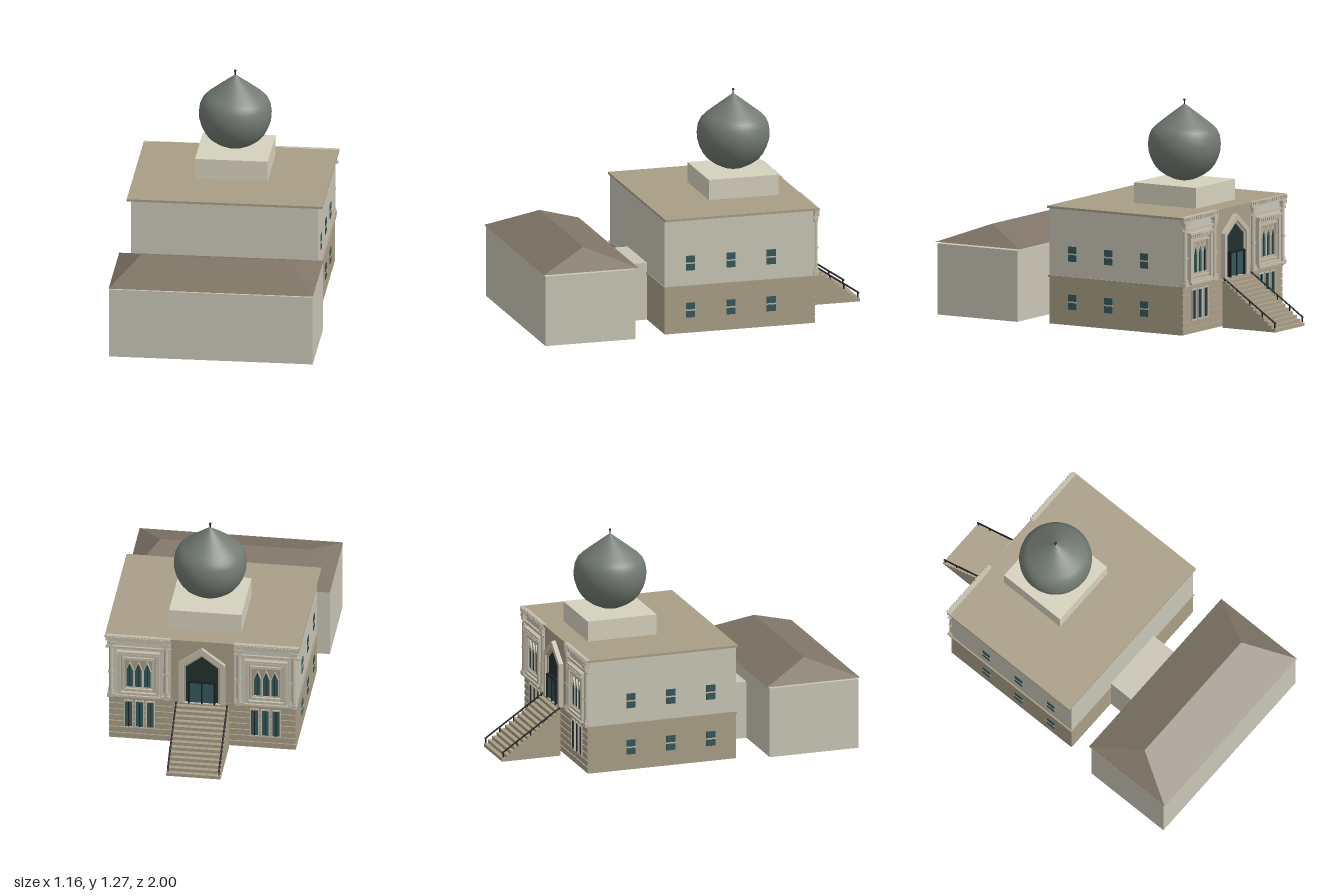
import * as THREE from 'three';

const C = {
  wall: 0xc9c6b6, plinth: 0xd6d1be, stone: 0xa99e87, trim: 0xc2bcaa, roof: 0x7f7466,
  flatRoof: 0xa99e87, dome: 0x727a72, glass: 0x35575a, dark: 0x22302f, iron: 0x1c1f20,
};
const mats = {};
const mat = (c) => (mats[c] ??= new THREE.MeshStandardMaterial({ color: C[c], side: THREE.DoubleSide }));

export function createModel() {
  const model = new THREE.Group();
  model.name = 'domedHall';

  const add = (name, color, geo, parent = model) => {
    const m = new THREE.Mesh(geo, mat(color));
    m.name = name;
    parent.add(m);
    return m;
  };
  // Box given by its limits on each axis
  const box = (name, color, x0, x1, y0, y1, z0, z1, parent = model) => {
    const m = add(name, color, new THREE.BoxGeometry(x1 - x0, y1 - y0, z1 - z0), parent);
    m.position.set((x0 + x1) / 2, (y0 + y1) / 2, (z0 + z1) / 2);
    return m;
  };
  const group = (name) => {
    const g = new THREE.Group();
    g.name = name;
    model.add(g);
    return g;
  };
  // Upright slab cut from a shape in the x-y plane
  const slab = (name, color, shape, z0, z1, parent) => {
    const m = add(name, color, new THREE.ExtrudeGeometry(shape, { depth: z1 - z0, bevelEnabled: false }), parent);
    m.position.z = z0;
    return m;
  };
  const poly = (pts) => pts.map(([x, y]) => new THREE.Vector2(x, y));
  const gable = (x, w, y0, ys, ya) => poly([[x - w, y0], [x + w, y0], [x + w, ys], [x, ya], [x - w, ys]]);
  const rect = (x, w, y0, y1) => poly([[x - w, y0], [x + w, y0], [x + w, y1], [x - w, y1]]);
  const ring = (outer, inner) => {
    const s = new THREE.Shape(outer);
    s.holes.push(new THREE.Path(inner));
    return s;
  };

  // Front hall, its hipped roof and the link to the main block
  box('hallWalls', 'wall', -0.58, 0.58, 0, 0.407, 0.457, 0.99);
  box('linkBlock', 'wall', -0.188, 0.188, 0, 0.333, 0.27, 0.46);
  const A = [-0.425, 0.522, 0.72], B = [0.425, 0.522, 0.72];
  const [c0, c1, c2, c3] = [[-0.582, 0.416, 1], [0.582, 0.416, 1], [0.582, 0.416, 0.44], [-0.582, 0.416, 0.44]];
  const roof = new THREE.BufferGeometry();
  roof.setAttribute('position', new THREE.Float32BufferAttribute([
    c0, c1, B, c0, B, A, c1, c2, B, c2, c3, A, c2, A, B, c3, c0, A, c0, c3, c2, c0, c2, c1].flat(), 3));
  roof.computeVertexNormals();
  add('hippedRoof', 'roof', roof);

  // Main block
  box('lowerStorey', 'stone', -0.533, 0.533, 0, 0.27, -0.612, 0.27);
  box('upperStorey', 'wall', -0.533, 0.533, 0.27, 0.665, -0.618, 0.27);
  box('stringCourse', 'stone', -0.541, 0.541, 0.268, 0.278, -0.626, 0.275);
  box('flatRoof', 'flatRoof', -0.557, 0.557, 0.664, 0.677, -0.632, 0.274);

  // Dome on its square plinth
  box('domePlinth', 'plinth', -0.207, 0.207, 0.677, 0.795, -0.504, -0.09);
  const profile = poly([[0, 0.795], [0.06, 0.808], [0.11, 0.832], [0.148, 0.86], [0.172, 0.89], [0.192, 0.93],
    [0.204, 0.97], [0.207, 1.01], [0.201, 1.055], [0.185, 1.09], [0.16, 1.115], [0.095, 1.166], [0.04, 1.208], [0, 1.238]]);
  add('dome', 'dome', new THREE.LatheGeometry(profile, 40)).position.z = -0.297;
  add('finialRod', 'iron', new THREE.CylinderGeometry(0.003, 0.004, 0.035, 8)).position.set(0, 1.242, -0.297);
  add('finialBall', 'iron', new THREE.SphereGeometry(0.007, 12, 8)).position.set(0, 1.259, -0.297);

  // Side windows, two rows of three on each side
  const sideWindows = group('sideWindows');
  for (const s of [-1, 1])
    for (const z of [0.118, -0.122, -0.36])
      for (const y of [0.133, 0.408]) {
        const x = s * 0.534;
        box('sideWindow', 'glass', x - 0.003, x + 0.003, y - 0.043, y + 0.043, z - 0.027, z + 0.027, sideWindows);
        box('windowBar', 'trim', x - 0.005, x + 0.005, y - 0.004, y + 0.004, z - 0.03, z + 0.03, sideWindows);
      }

  // Banded stone courses of the lower entrance wall
  const courses = group('stoneCourses');
  for (let i = 0; i < 7; i++)
    box('stoneCourse', 'stone', -0.533, 0.533, i * 0.0385 + 0.002, i * 0.0385 + 0.034, -0.62, -0.612, courses);

  for (const s of [-1, 1]) {
    // Three tall windows below
    const low = group('lowerWindows');
    for (const dx of [-0.062, 0, 0.062]) {
      const x = s * 0.36 + dx;
      slab('windowFrame', 'trim', ring(rect(x, 0.026, 0.075, 0.255), rect(x, 0.02, 0.083, 0.247)), -0.627, -0.612, low);
      box('windowPane', 'glass', x - 0.02, x + 0.02, 0.083, 0.247, -0.623, -0.612, low);
      box('windowMullion', 'iron', x - 0.002, x + 0.002, 0.083, 0.247, -0.627, -0.62, low);
    }

    // Bay with nested frames and three pointed windows
    const bay = group('windowBay'), cx = s * 0.365;
    slab('outerFrame', 'trim', ring(rect(cx, 0.118, 0.295, 0.57), rect(cx, 0.1, 0.313, 0.55)), -0.64, -0.615, bay);
    slab('innerFrame', 'trim', ring(rect(cx, 0.092, 0.322, 0.54), rect(cx, 0.08, 0.336, 0.525)), -0.635, -0.615, bay);
    box('bayPanel', 'stone', cx - 0.1, cx + 0.1, 0.31, 0.555, -0.622, -0.615, bay);
    box('baySill', 'trim', cx - 0.122, cx + 0.122, 0.287, 0.299, -0.65, -0.615, bay);
    box('bayCornice', 'trim', cx - 0.122, cx + 0.122, 0.568, 0.58, -0.645, -0.615, bay);
    for (let i = 0; i < 12; i++) {
      const x = cx - 0.115 + i * 0.0209;
      box('bayDentil', 'trim', x - 0.006, x + 0.006, 0.556, 0.57, -0.65, -0.635, bay);
    }
    for (const dx of [-0.05, 0, 0.05]) {
      const x = cx + dx;
      const arch = (w, y0, ys, ya) => poly([[x - w, y0], [x + w, y0], [x + w, ys], [x + w * 0.55, ys + (ya - ys) * 0.5],
        [x, ya], [x - w * 0.55, ys + (ya - ys) * 0.5], [x - w, ys]]);
      slab('archFrame', 'trim', ring(arch(0.024, 0.342, 0.455, 0.515), arch(0.019, 0.347, 0.453, 0.502)), -0.632, -0.62, bay);
      slab('archPane', 'glass', new THREE.Shape(arch(0.02, 0.347, 0.453, 0.503)), -0.626, -0.62, bay);
      box('archMullion', 'iron', x - 0.0015, x + 0.0015, 0.347, 0.49, -0.628, -0.624, bay);
    }

    // Columns either side of the bay
    const columns = group('columns');
    for (const x of [s * 0.522, s * 0.208]) {
      const shaft = add('columnShaft', 'trim', new THREE.CylinderGeometry(0.012, 0.013, 0.36, 12), columns);
      shaft.position.set(x, 0.46, -0.626);
      for (const [y, h, w] of [[0.29, 0.024, 0.02], [0.312, 0.01, 0.016], [0.44, 0.01, 0.016], [0.61, 0.012, 0.017], [0.634, 0.022, 0.021]])
        box('columnBlock', 'trim', x - w, x + w, y - h / 2, y + h / 2, -0.626 - w * 0.75, -0.612, columns);
    }

    // Entablature with dentils under the roof edge
    const top = group('entablature');
    const [x0, x1] = s > 0 ? [0.18, 0.553] : [-0.553, -0.18];
    box('frieze', 'trim', x0, x1, 0.595, 0.607, -0.63, -0.612, top);
    box('cornice', 'trim', x0, x1, 0.645, 0.677, -0.637, -0.612, top);
    for (let i = 0; i < 18; i++) {
      const x = x0 + 0.012 + i * 0.0205;
      box('corniceDentil', 'trim', x - 0.006, x + 0.006, 0.655, 0.673, -0.644, -0.63, top);
    }
  }

  // Central portal with pointed gable and glazed doors
  const portal = group('portal');
  box('portalWall', 'stone', -0.18, 0.18, 0.278, 0.668, -0.624, -0.615, portal);
  slab('portalFrame', 'trim', ring(gable(0, 0.132, 0.278, 0.535, 0.635), gable(0, 0.104, 0.279, 0.52, 0.598)), -0.65, -0.62, portal);
  slab('portalInnerFrame', 'stone', ring(gable(0, 0.104, 0.278, 0.52, 0.598), gable(0, 0.092, 0.279, 0.512, 0.582)), -0.638, -0.62, portal);
  slab('portalGlass', 'dark', new THREE.Shape(gable(0, 0.093, 0.278, 0.512, 0.583)), -0.63, -0.622, portal);
  for (const s of [-1, 1]) {
    box('doorLeaf', 'glass', s * 0.036 - 0.033, s * 0.036 + 0.033, 0.283, 0.415, -0.644, -0.628, portal);
    box('doorPost', 'iron', s * 0.073 - 0.004, s * 0.073 + 0.004, 0.278, 0.42, -0.655, -0.628, portal);
  }
  box('doorLintel', 'iron', -0.077, 0.077, 0.415, 0.423, -0.655, -0.628, portal);
  box('doorMeeting', 'iron', -0.003, 0.003, 0.278, 0.415, -0.65, -0.628, portal);

  // Entrance stairs as one stepped profile, with sloping rails
  const stairs = group('entranceStairs');
  const steps = 14, run = 0.352 / steps, rise = 0.268 / steps;
  const pts = [[0.648, 0], [1, 0]];
  for (let i = 0; i < steps; i++) pts.push([1 - i * run, (i + 1) * rise], [1 - (i + 1) * run, (i + 1) * rise]);
  const flight = new THREE.ExtrudeGeometry(new THREE.Shape(poly(pts)), { depth: 0.31, bevelEnabled: false });
  flight.rotateY(Math.PI / 2).translate(-0.155, 0, 0);
  add('stairFlight', 'stone', flight, stairs);
  for (const s of [-1, 1]) {
    const a = new THREE.Vector3(s * 0.146, 0.282, -0.65), b = new THREE.Vector3(s * 0.146, 0.048, -0.998);
    add('stairRail', 'iron', new THREE.TubeGeometry(new THREE.LineCurve3(a, b), 1, 0.005, 8), stairs);
    for (let i = 0; i <= 4; i++) {
      const p = a.clone().lerp(b, 0.02 + i * 0.24);
      box('railPost', 'iron', p.x - 0.003, p.x + 0.003, p.y - 0.03, p.y, p.z - 0.003, p.z + 0.003, stairs);
    }
  }
  return model;
}
